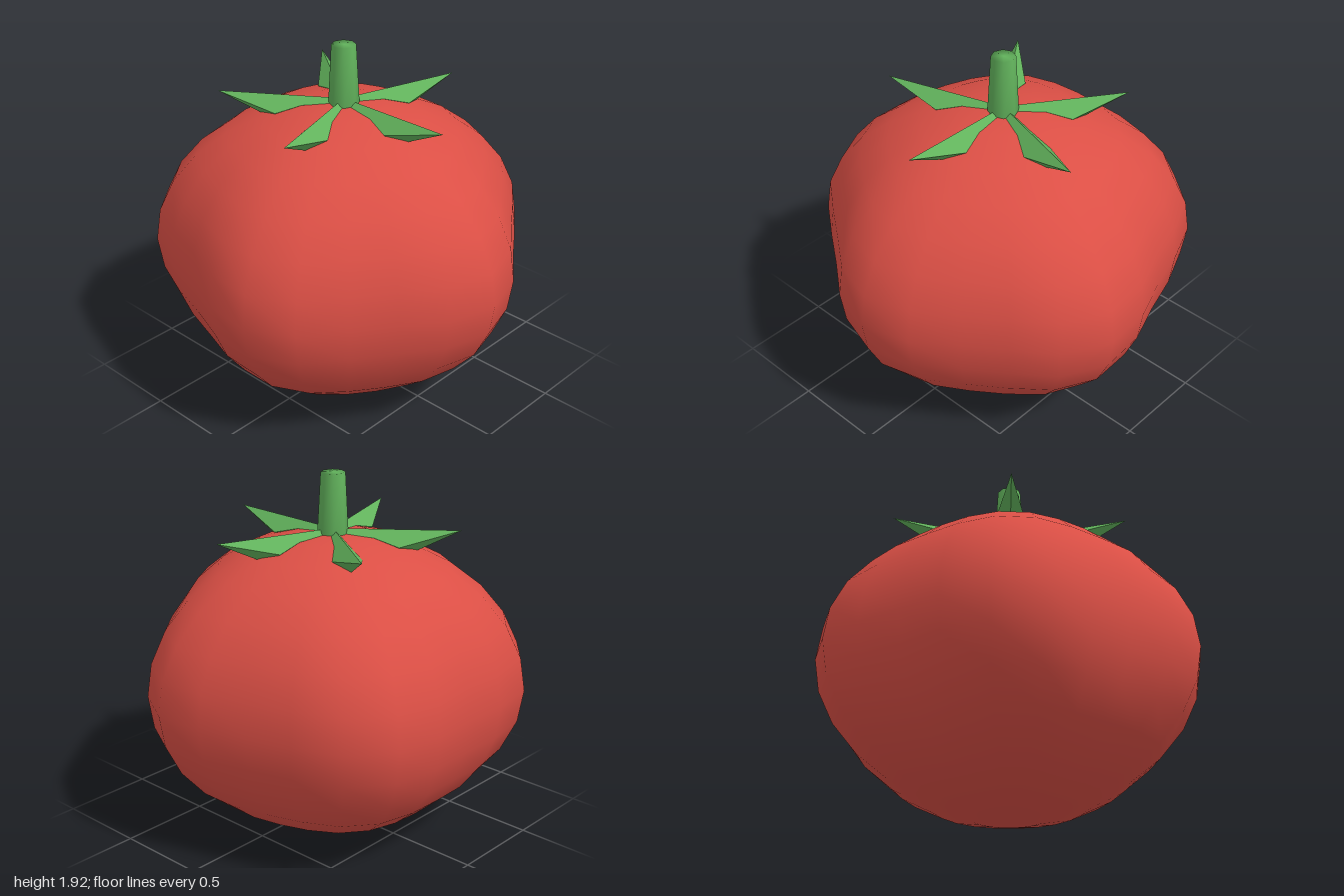
import * as THREE from 'three';
import { mergeVertices } from 'three/addons/utils/BufferGeometryUtils.js';

const CENTRE_X = -0.055;

// Weld all vertices so the whole surface shades smoothly
function smooth(geometry) {
  geometry.deleteAttribute('normal');
  geometry.deleteAttribute('uv');
  const welded = mergeVertices(geometry, 1e-4);
  welded.computeVertexNormals();
  return welded;
}

// Squashed sphere with five soft lobes that fade towards the poles
function bodyGeometry() {
  const geometry = new THREE.SphereGeometry(1, 24, 14);
  const p = geometry.attributes.position;
  for (let i = 0; i < p.count; i++) {
    const x = p.getX(i), y = p.getY(i), z = p.getZ(i);
    const ring = x * x + z * z;
    const r = 0.978 + 0.059 * Math.cos(5 * Math.atan2(z, x)) * ring;
    p.setXYZ(i, x * r, 0.803 + y * 0.803, z * r);
  }
  return smooth(geometry);
}

// Four-sided leaf along +x: diamond sections under a level ridge
function leafGeometry() {
  const sections = [[0.03, 0.025], [0.215, 0.038], [0.35, 0.077], [0.663, 0.0005]]; // distance, half size
  const positions = [], index = [];
  for (const [x, s] of sections) {
    const ridge = 1.622 + 0.008 * x / 0.663;
    positions.push(x, ridge, 0, x, ridge - s, s, x, ridge - 2 * s, 0, x, ridge - s, -s);
  }
  for (let i = 0; i < sections.length - 1; i++) {
    for (let k = 0; k < 4; k++) {
      const a = i * 4 + k, b = i * 4 + (k + 1) % 4;
      index.push(a, b, a + 4, b, b + 4, a + 4);
    }
  }
  index.push(0, 2, 1, 0, 3, 2);
  let geometry = new THREE.BufferGeometry();
  geometry.setAttribute('position', new THREE.Float32BufferAttribute(positions, 3));
  geometry.setIndex(index);
  geometry = geometry.toNonIndexed();
  geometry.computeVertexNormals();
  return geometry;
}

export function createModel() {
  const red = new THREE.MeshStandardMaterial({ color: 0xdb4f45 });
  red.name = 'tomato red';
  const green = new THREE.MeshStandardMaterial({ color: 0x62b35c });
  green.name = 'leaf green';

  const model = new THREE.Group();
  model.name = 'tomato';
  model.position.x = CENTRE_X;

  const add = (name, geometry, material, parent) => {
    const mesh = new THREE.Mesh(geometry, material);
    mesh.name = name;
    parent.add(mesh);
    return mesh;
  };

  add('fruit', bodyGeometry(), red, model);

  // Tapered stem
  const stem = add('stem', smooth(new THREE.CylinderGeometry(0.064, 0.081, 0.32, 8)), green, model);
  stem.position.y = 1.76;

  // Five leaves around the stem
  const leaves = new THREE.Group();
  leaves.name = 'leaves';
  model.add(leaves);
  const leaf = leafGeometry();
  for (let i = 0; i < 5; i++) {
    add('leaf', leaf, green, leaves).rotation.y = i * Math.PI * 2 / 5;
  }

  const root = new THREE.Group();
  root.add(model);
  return root;
}
